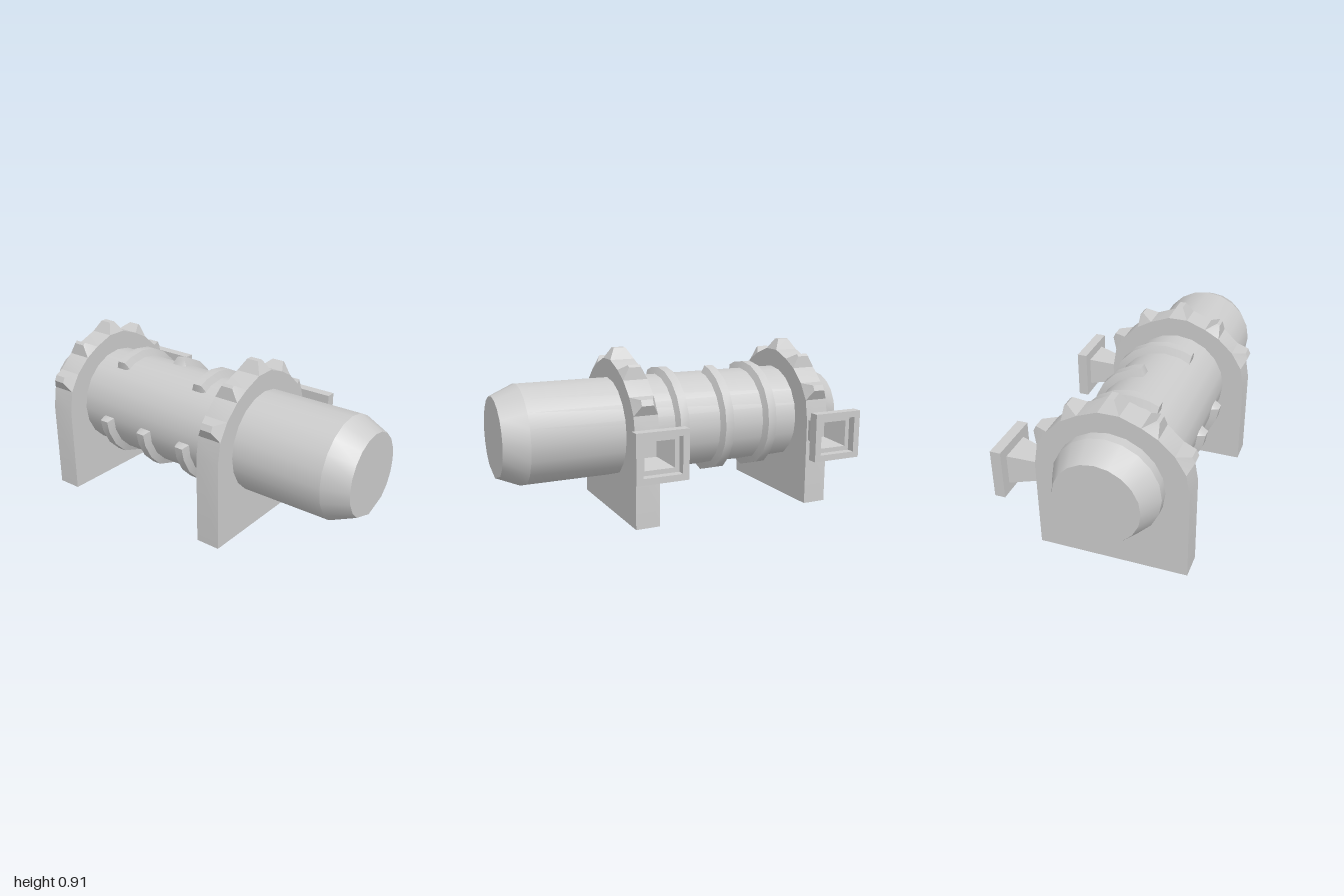
import * as THREE from 'three';
import { toCreasedNormals } from 'three/addons/utils/BufferGeometryUtils.js';

const CY = 0.475, CZ = 0.0925; // barrel axis
const material = new THREE.MeshStandardMaterial({ color: 0xcccccc, side: THREE.DoubleSide });

// Skins a list of equal-length rings of [x, y, z] points
function loft(name, rings, { closed = true, capStart = false, capEnd = false, crease = 0.3 } = {}) {
  const n = rings[0].length, index = [];
  for (let i = 0; i < rings.length - 1; i++) {
    for (let j = 0; j < (closed ? n : n - 1); j++) {
      const k = (j + 1) % n;
      const a = i * n + j, b = i * n + k, c = b + n, d = a + n;
      index.push(a, b, c, a, c, d);
    }
  }
  const last = (rings.length - 1) * n;
  for (let j = 1; j < n - 1; j++) {
    if (capStart) index.push(0, j + 1, j);
    if (capEnd) index.push(last, last + j, last + j + 1);
  }
  const geometry = new THREE.BufferGeometry();
  geometry.setAttribute('position', new THREE.Float32BufferAttribute(rings.flat(2), 3));
  geometry.setIndex(index);
  const mesh = new THREE.Mesh(toCreasedNormals(geometry, crease), material);
  mesh.name = name;
  return mesh;
}

// Point around the barrel axis; angle in degrees from the top towards the front
function polar(x, r, deg) {
  const t = THREE.MathUtils.degToRad(deg);
  return [x, CY + r * Math.cos(t), CZ + r * Math.sin(t)];
}

// Twenty-sided barrel with a pointed keel below
const barrelAngles = [];
for (let a = 0; a < 360; a += 18) if (a !== 162 && a !== 198) barrelAngles.push(a);
const barrelRing = (x, r) => barrelAngles.map((a) => polar(x, r, a));

function createBarrel() {
  const g = new THREE.Group();
  g.name = 'barrel';
  const R = 0.275, E = 0.218, X = 0.87;
  g.add(
    loft('barrelBody', [barrelRing(-X, R), barrelRing(X, R)], { crease: 0.7 }),
    loft('leftEnd', [barrelRing(X, R), barrelRing(1, E)], { capEnd: true, crease: 0.7 }),
    loft('rightEnd', [barrelRing(-1, E), barrelRing(-X, R)], { capStart: true, crease: 0.7 }),
  );
  return g;
}

// Raised rib that runs from the front, under and behind the barrel to the top
function createRib(x, endAngle) {
  const section = (deg, r) => [
    polar(x + 0.044, 0.268, deg), polar(x + 0.025, r, deg),
    polar(x - 0.025, r, deg), polar(x - 0.044, 0.268, deg),
  ];
  const top = 0.313, start = 95;
  const angles = [start];
  for (const a of [...barrelAngles, 360, 378]) if (a > start + 3 && a < endAngle - 3) angles.push(a);
  angles.push(endAngle - 3);
  const rings = [section(start - 3, 0.272), ...angles.map((a) => section(a, top)), section(endAngle, 0.272)];
  return loft('rib', rings, { crease: 0.7 });
}

// Half outline of the support plate, from the foot to the top: [offset from axis, y]
const halfOutline = [
  [0.392, 0], [0.392, 0.485], [0.3725, 0.6], [0.3175, 0.69],
  [0.2375, 0.765], [0.1575, 0.81], [0.053, 0.85],
];
// Teeth: front base, front tip, rear tip, rear base
const sideTeeth = [
  [[0.2375, 0.765], [0.232, 0.83], [0.218, 0.842], [0.1575, 0.81]],
  [[0.3725, 0.6], [0.402, 0.655], [0.388, 0.685], [0.3175, 0.69]],
];
const topTooth = [[0.053, 0.85], [0.017, 0.91], [-0.017, 0.91], [-0.053, 0.85]];
const mirror = (points) => points.map(([d, y]) => [-d, y]).reverse();

function createSupport(x) {
  const g = new THREE.Group();
  g.name = 'support';
  const half = 0.068, tip = 0.033;
  const at = (px, [d, y]) => [x + px, y, CZ + d];

  // Plate, open underneath
  const outline = [...halfOutline.map(([d, y]) => [-d, y]), ...[...halfOutline].reverse()];
  g.add(loft('plate', [-half, half].map((px) => outline.map((p) => at(px, p))),
    { closed: false, capStart: true, capEnd: true }));

  // Tapered teeth over the top
  for (const [a, b, c, d] of [topTooth, ...sideTeeth, ...sideTeeth.map(mirror)]) {
    g.add(loft('tooth', [
      [at(half, a), at(half, d), at(-half, d), at(-half, a)],
      [at(tip, b), at(tip, c), at(-tip, c), at(-tip, b)],
    ], { capEnd: true }));
  }

  // Flared rear port with a hollow rectangular flange: [z, half width, half height]
  const profile = [
    [-0.29, 0.055, 0.055], [-0.44, 0.09, 0.08], [-0.44, 0.144, 0.132],
    [-0.495, 0.144, 0.132], [-0.495, 0.108, 0.098], [-0.45, 0.108, 0.098],
    [-0.45, 0.083, 0.073], [-0.305, 0.048, 0.048],
  ];
  const py = 0.432;
  g.add(loft('rearPort', profile.map(([z, w, h]) => [
    [x + w, py + h, z], [x + w, py - h, z], [x - w, py - h, z], [x - w, py + h, z],
  ]), { capEnd: true }));
  return g;
}

export function createModel() {
  const model = new THREE.Group();
  model.name = 'barrelOnSupports';
  model.add(createBarrel());
  for (const [x, end] of [[-0.506, 391], [-0.233, 355], [0.04, 391]]) model.add(createRib(x, end));
  for (const x of [-0.75, 0.297]) model.add(createSupport(x));
  return model;
}
